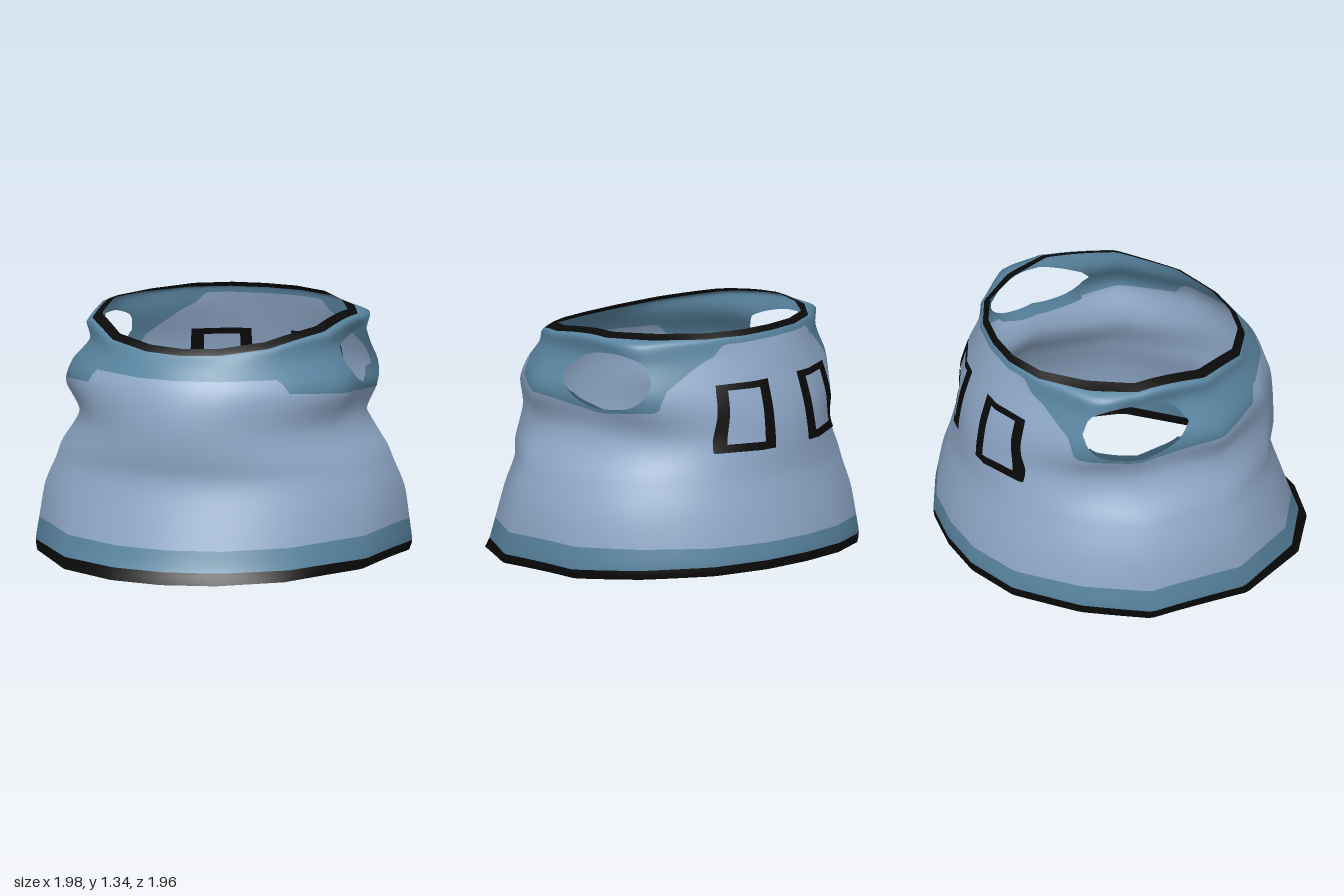
import * as THREE from 'three';

// rings, bottom to top:
// [half width, front z, back z, front y, side y, back y, front corner fullness, back corner fullness]
const RINGS = [
  [0.975, 0.98, -0.97, 0.00, 0.05, 0.10, 0, 0],
  [0.99, 0.93, -0.975, 0.06, 0.10, 0.15, 0, 0],
  [0.975, 0.89, -0.96, 0.17, 0.22, 0.24, 0, 0],
  [0.95, 0.82, -0.93, 0.38, 0.39, 0.39, 0, 0],
  [0.89, 0.778, -0.895, 0.52, 0.53, 0.53, 0, 0],
  [0.85, 0.80, -0.88, 0.62, 0.62, 0.62, 0, 0],
  [0.74, 0.81, -0.87, 0.78, 0.78, 0.78, 0.01, 0.01],
  [0.795, 0.79, -0.845, 0.93, 0.93, 0.92, 0.05, 0.06],
  [0.77, 0.75, -0.80, 1.03, 1.05, 1.07, 0.04, 0.10],
  [0.69, 0.70, -0.755, 1.11, 1.17, 1.21, 0.02, 0.14],
  [0.73, 0.655, -0.73, 1.155, 1.27, 1.285, 0, 0.11],
  [0.69, 0.65, -0.72, 1.17, 1.30, 1.31, 0, 0.02],
  [0.64, 0.615, -0.695, 1.20, 1.32, 1.335, 0, 0],
];
const CZ = -0.1;
const TOP = RINGS.length - 1;

// angular outline seen from above, back to front, one half, in unit size
const PLAN = [[0, -1], [0.28, -0.97], [0.57, -0.83], [0.83, -0.5], [1, -0.12],
  [0.93, 0.43], [0.63, 0.8], [0.3, 0.96], [0, 1]];
const roundPlan = (phi) => [Math.cos(phi), Math.sin(phi)];
function angularPlan(phi) {
  const c = Math.cos(phi);
  const a = Math.atan2(Math.sin(phi), Math.abs(c));
  const angle = (p) => Math.atan2(p[1], p[0]);
  let i = 1;
  while (i < PLAN.length - 1 && a > angle(PLAN[i])) i++;
  const p = PLAN[i - 1], q = PLAN[i];
  const t = (a - angle(p)) / (angle(q) - angle(p));
  return [Math.sign(c) * (p[0] + (q[0] - p[0]) * t), p[1] + (q[1] - p[1]) * t];
}

// smooth interpolation between rings
function ringAt(v) {
  const i = Math.min(TOP - 1, Math.max(0, Math.floor(v)));
  const t = v - i;
  const at = (k) => RINGS[Math.min(TOP, Math.max(0, k))];
  return at(i).map((b, n) => {
    const a = at(i - 1)[n], c = at(i + 1)[n], d = at(i + 2)[n];
    const m0 = (c - a) * 0.35, m1 = (d - b) * 0.35;
    const t2 = t * t, t3 = t2 * t;
    return (2 * t3 - 3 * t2 + 1) * b + (t3 - 2 * t2 + t) * m0 + (3 * t2 - 2 * t3) * c + (t3 - t2) * m1;
  });
}

// point on the cloth: angle phi (0 = left side, 90 degrees = front), height v in ring numbers
function cloth(phi, v, plan) {
  const [rx, zf, zb, yf, ys, yb, fullFront, fullBack] = ringAt(v);
  const [c, s] = plan(phi);
  const k = Math.pow(Math.abs(s), 1.6);
  const corner = Math.pow(4 * Math.abs(s) * (1 - Math.abs(s)), 3);
  return new THREE.Vector3(
    rx * c * (1 + (s > 0 ? fullFront : fullBack) * corner),
    ys + ((s > 0 ? yf : yb) - ys) * k,
    CZ + (s > 0 ? (zf - CZ) * s : (CZ - zb) * s));
}

// soft normals, averaged over neighbouring rings and the angular outline
function clothNormal(phi, v) {
  const ev = 0.75, ep = 0.05;
  const dv = cloth(phi, Math.min(TOP, v + ev), roundPlan).sub(cloth(phi, Math.max(0, v - ev), roundPlan));
  const dp = cloth(phi + ep, v, roundPlan).sub(cloth(phi - ep, v, roundPlan));
  return dv.cross(dp).normalize();
}

// strip of cloth between two angles and two height curves;
// offset lifts each row off the cloth, bend shifts the angle with height
function strip(name, material, [p0, p1, cols], [low, high, rows], offset = () => 0, bend = (phi) => phi) {
  const pos = [], nor = [], idx = [];
  for (let i = 0; i <= cols; i++) {
    const u = p0 + (p1 - p0) * i / cols;
    const a = low(u), b = high(u);
    for (let j = 0; j <= rows; j++) {
      const v = a + (b - a) * j / rows;
      const phi = bend(u, v);
      const n = clothNormal(phi, v);
      const p = cloth(phi, v, angularPlan).addScaledVector(n, offset(j / rows));
      pos.push(p.x, p.y, p.z);
      nor.push(n.x, n.y, n.z);
      if (i < cols && j < rows) {
        const q = i * (rows + 1) + j, r = q + rows + 1;
        idx.push(q, q + 1, r, r, q + 1, r + 1);
      }
    }
  }
  const g = new THREE.BufferGeometry();
  g.setAttribute('position', new THREE.Float32BufferAttribute(pos, 3));
  g.setAttribute('normal', new THREE.Float32BufferAttribute(nor, 3));
  g.setIndex(idx);
  const mesh = new THREE.Mesh(g, material);
  mesh.name = name;
  return mesh;
}

// lower edge of the yoke, by sine of the angle (-1 = back, 1 = front)
const YOKE = [[-1, 9.8], [-0.9, 9.8], [-0.85, 9.2], [-0.65, 8], [-0.58, 7.1], [-0.2, 6.85],
  [0.1, 6.95], [0.25, 7.1], [0.55, 7.3], [0.735, 7.45], [0.75, 8.2], [1, 8.25]];
function yokeEdge(phi) {
  const s = Math.sin(phi);
  let i = 1;
  while (i < YOKE.length - 1 && s > YOKE[i][0]) i++;
  const [s0, a] = YOKE[i - 1], [s1, b] = YOKE[i];
  return a + (b - a) * (s - s0) / (s1 - s0);
}

// armhole outline: rounded opening on each side, closed elsewhere
const HOLE_MID = -0.18, HOLE_HALF = 0.4;
function armhole(phi, sign) {
  const d = Math.abs(Math.asin(Math.sin(phi)) - HOLE_MID) / HOLE_HALF;
  const half = d < 1 ? 1.2 * Math.pow(1 - Math.pow(d, 2.2), 1 / 2.2) : 0;
  return Math.max(yokeEdge(phi), 8.25 + sign * half);
}

export function createModel() {
  const group = new THREE.Group();
  group.name = 'garment';
  const mat = (name, color) => {
    const m = new THREE.MeshStandardMaterial({ color, side: THREE.DoubleSide });
    m.name = name;
    return m;
  };
  const paleBlue = mat('paleBlue', 0x90a9c9);
  const teal = mat('teal', 0x5a86a2);
  const black = mat('black', 0x0a0a0a);

  const at = (v) => () => v;
  const around = (name, material, low, high, rows) =>
    group.add(strip(name, material, [0, Math.PI * 2, 180], [low, high, rows]));
  const holeBottom = (p) => armhole(p, -1);

  // body, trims and yoke
  around('hemTrim', black, at(0), at(1), 3);
  around('hemBand', teal, at(1), at(2), 4);
  around('body', paleBlue, at(2), yokeEdge, 32);
  around('yokeBelowArmhole', teal, yokeEdge, holeBottom, 8);
  around('yokeAboveArmhole', teal, (p) => armhole(p, 1), at(10.9), 14);
  around('collarTrim', black, at(10.9), at(12), 4);

  for (const side of [-1, 1]) {
    const label = side > 0 ? 'left' : 'right';

    // cloth turned inwards along the lower edge of the armhole
    const mid = side > 0 ? HOLE_MID : Math.PI - HOLE_MID;
    const reach = HOLE_HALF * 0.9;
    group.add(strip(label + 'ArmholeFold', teal, [mid - reach, mid + reach, 24],
      [(p) => holeBottom(p) - 0.3, holeBottom, 3], (t) => -0.07 * (1 - t)));

    // rectangular outline on the back, showing inside and outside
    const frame = new THREE.Group();
    frame.name = label + 'BackFrame';
    const back = -Math.PI / 2;
    const straight = (phi, v) =>
      back + Math.asin(Math.sin(phi - back) * (0.77 / ringAt(v)[0]) * (1 + 0.055 * (8.05 - v)));
    const bar = (name, a, b, v0, v1) => {
      const angles = side > 0 ? [back + a, back + b, 10] : [back - b, back - a, 10];
      for (const lift of [-0.006, 0.006]) {
        frame.add(strip(name, black, angles, [at(v0), at(v1), 12], () => lift, straight));
      }
    };
    bar('innerBar', 0.145, 0.225, 5.6, 8.05);
    bar('outerBar', 0.47, 0.555, 5.6, 8.05);
    bar('lowerBar', 0.225, 0.47, 5.6, 5.84);
    bar('upperBar', 0.225, 0.47, 7.78, 8.05);
    group.add(frame);
  }
  return group;
}
